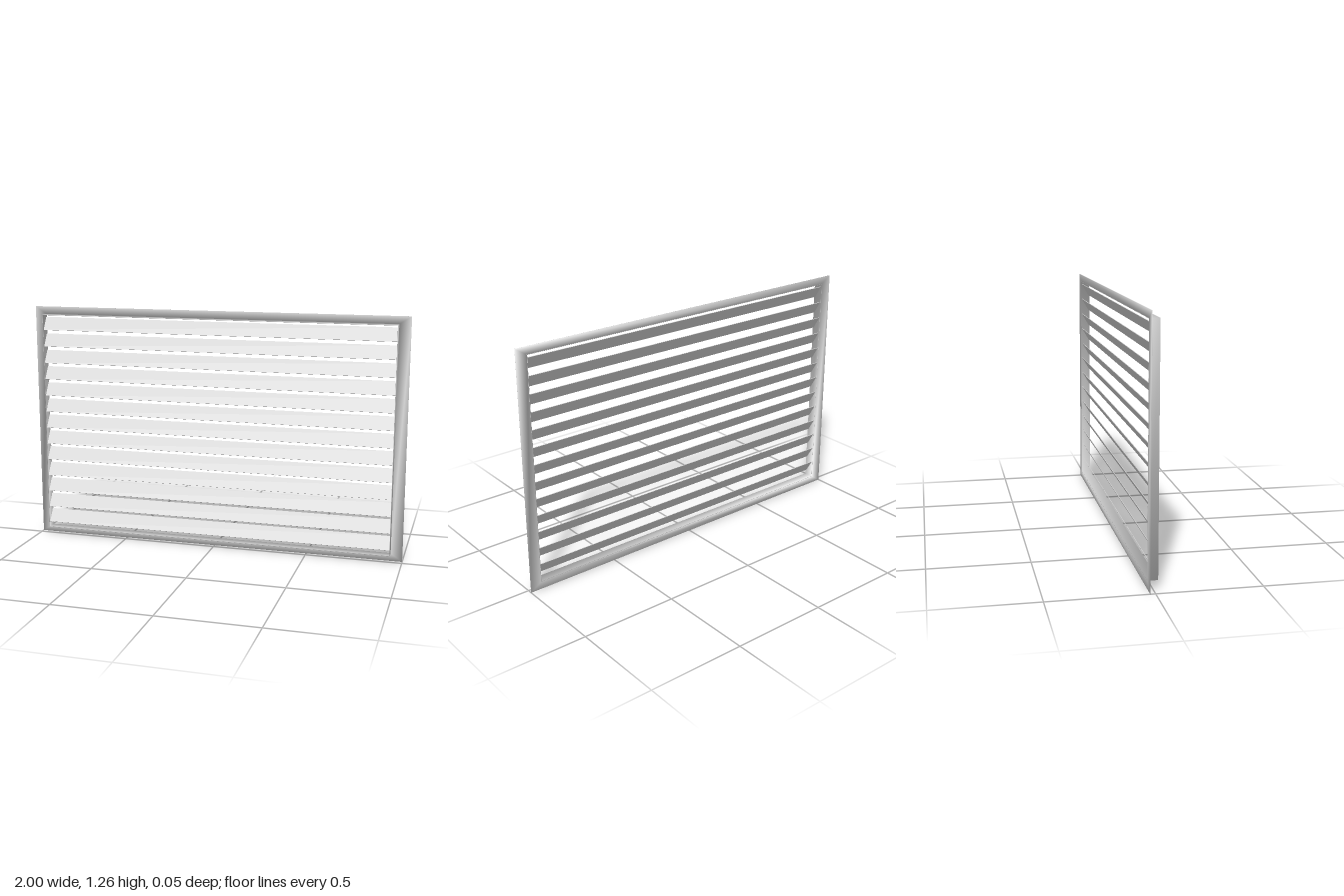
import * as THREE from 'three';

const WIDTH = 2, HEIGHT = 1.26;
const STILE = 0.06, RAIL = 0.04, DEPTH = 0.05;
const material = new THREE.MeshStandardMaterial({ color: 0xcccccc, side: THREE.DoubleSide });

// Rectangular ring with a box-shaped section and softened edge normals.
// outer and inner are [half width, half height].
function ring(name, outer, inner, zBack, zFront) {
  const section = [
    [outer, 1, zBack, -1], [outer, 1, zFront, 1],
    [inner, -1, zFront, 1], [inner, -1, zBack, -1],
  ];
  const corners = [[1, 1], [-1, 1], [-1, -1], [1, -1]];
  const positions = [], normals = [], index = [];
  const n = new THREE.Vector3();
  corners.forEach(([sx, sy], i) => {
    section.forEach(([size, side, z, nz], j) => {
      positions.push(sx * size[0], sy * size[1], z);
      n.set(sx * side, sy * side, nz).normalize();
      normals.push(n.x, n.y, n.z);
      const a = i * 4 + j, b = i * 4 + (j + 1) % 4;
      const c = ((i + 1) % 4) * 4 + j, d = ((i + 1) % 4) * 4 + (j + 1) % 4;
      index.push(a, c, b, b, c, d);
    });
  });
  const geometry = new THREE.BufferGeometry();
  geometry.setAttribute('position', new THREE.Float32BufferAttribute(positions, 3));
  geometry.setAttribute('normal', new THREE.Float32BufferAttribute(normals, 3));
  geometry.setIndex(index);
  const mesh = new THREE.Mesh(geometry, material);
  mesh.name = name;
  mesh.position.y = HEIGHT / 2;
  return mesh;
}

export function createModel() {
  const model = new THREE.Group();
  model.name = 'louvredVent';

  const outer = [WIDTH / 2, HEIGHT / 2];
  const neck = [WIDTH / 2 - STILE, HEIGHT / 2 - RAIL];
  const neckInside = neck.map((v) => v - 0.002);

  // Thin mounting flange at the back, with a neck standing forward from it
  model.add(ring('flange', outer, neck, -DEPTH / 2, -DEPTH / 2 + 0.001));
  model.add(ring('neck', neck, neckInside, -DEPTH / 2, DEPTH / 2));

  // Slats lean back at the top and forward at the bottom
  const slats = new THREE.Group();
  slats.name = 'slats';
  const slatGeometry = new THREE.BoxGeometry(neckInside[0] * 2, 0.076, 0.003);
  const count = 13, lowest = 0.102, pitch = 0.0891;
  for (let i = 0; i < count; i++) {
    const slat = new THREE.Mesh(slatGeometry, material);
    slat.name = `slat${i + 1}`;
    slat.position.y = lowest + i * pitch;
    slat.rotation.x = -Math.atan2(0.04, 0.0675);
    slats.add(slat);
  }
  model.add(slats);
  return model;
}
